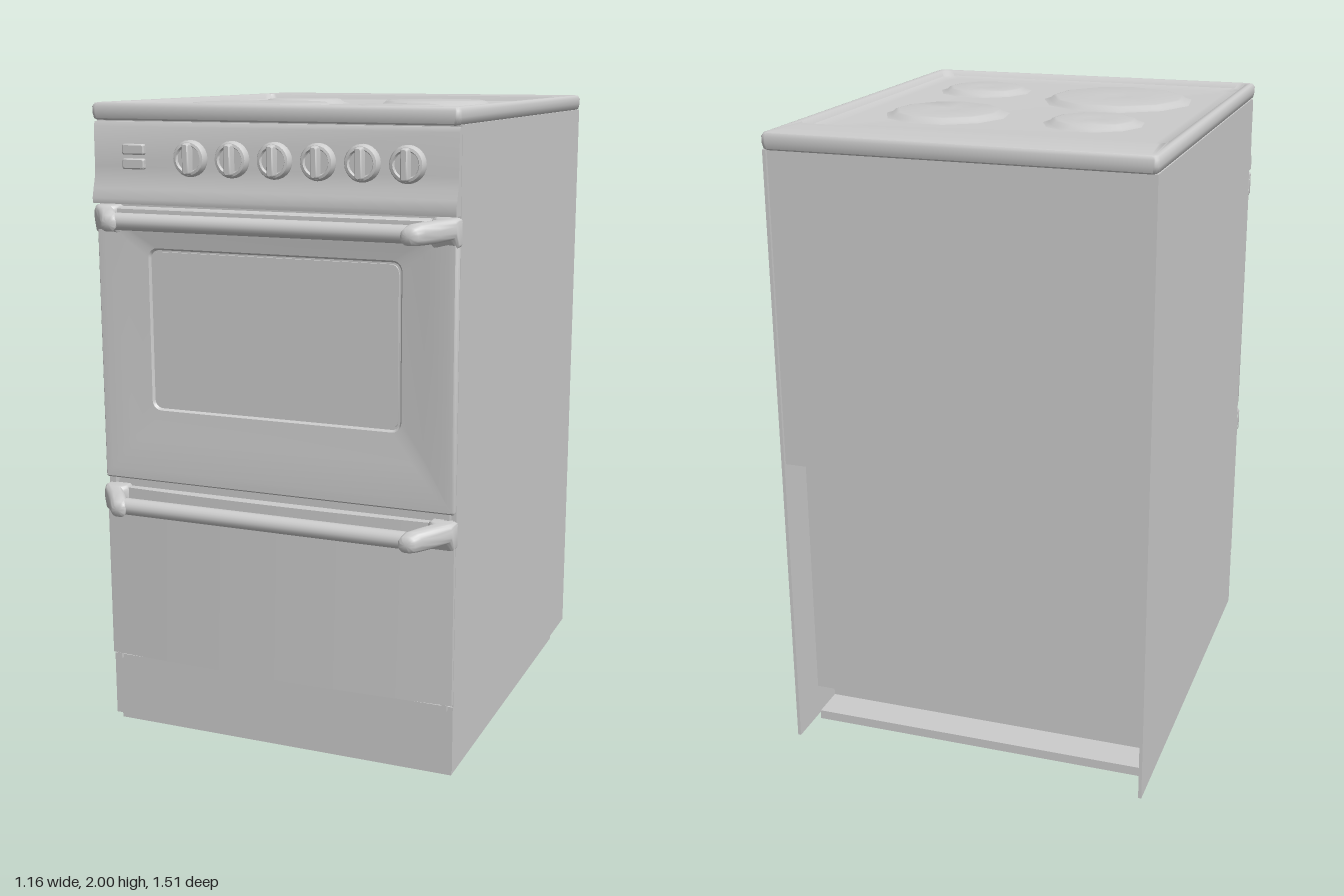
import * as THREE from 'three';
import { toCreasedNormals } from 'three/addons/utils/BufferGeometryUtils.js';

const enamel = new THREE.MeshStandardMaterial({ color: 0xcccccc });
enamel.name = 'grey enamel';

function add(parent, name, geo, x = 0, y = 0, z = 0) {
  const mesh = new THREE.Mesh(geo, enamel);
  mesh.name = name;
  mesh.position.set(x, y, z);
  parent.add(mesh);
  return mesh;
}

// Box given by its limits
function box(parent, name, x0, x1, y0, y1, z0, z1) {
  return add(parent, name, new THREE.BoxGeometry(x1 - x0, y1 - y0, z1 - z0),
    (x0 + x1) / 2, (y0 + y1) / 2, (z0 + z1) / 2);
}

// Points of a rounded rectangle, counter-clockwise
function ringPoints([x0, x1, y0, y1, r, z], steps = 5) {
  const pts = [];
  const corners = [[x1 - r, y1 - r], [x0 + r, y1 - r], [x0 + r, y0 + r], [x1 - r, y0 + r]];
  corners.forEach(([cx, cy], q) => {
    for (let i = 0; i <= steps; i++) {
      const a = (q + i / steps) * Math.PI / 2;
      pts.push([cx + r * Math.cos(a), cy + r * Math.sin(a), z]);
    }
  });
  return pts;
}

// Skin over rounded rectangles [x0, x1, y0, y1, radius, z]; the last one is capped
function loft(rings, crease = 0.6) {
  const pos = [], index = [];
  const n = 24;
  rings.forEach(r => ringPoints(r).forEach(p => pos.push(...p)));
  for (let k = 0; k < rings.length - 1; k++) {
    for (let j = 0; j < n; j++) {
      const a = k * n + j, b = k * n + (j + 1) % n;
      index.push(a, b, b + n, a, b + n, a + n);
    }
  }
  const last = rings[rings.length - 1];
  const start = (rings.length - 1) * n, centre = rings.length * n;
  pos.push((last[0] + last[1]) / 2, (last[2] + last[3]) / 2, last[5]);
  for (let j = 0; j < n; j++) index.push(start + j, start + (j + 1) % n, centre);
  const geo = new THREE.BufferGeometry();
  geo.setAttribute('position', new THREE.Float32BufferAttribute(pos, 3));
  geo.setIndex(index);
  return toCreasedNormals(geo, crease);
}

// Side profile of [z, y] points, extruded across the width
function profile(points, width) {
  const shape = new THREE.Shape(points.map(p => new THREE.Vector2(...p)));
  const geo = new THREE.ExtrudeGeometry(shape, { depth: width, bevelEnabled: false });
  geo.translate(0, 0, -width / 2).rotateY(-Math.PI / 2);
  return toCreasedNormals(geo, 0.5);
}

function buildHandle(parent, name, y) {
  const g = new THREE.Group();
  g.name = name;
  const bar = add(g, 'handleBar', new THREE.CylinderGeometry(0.026, 0.026, 0.92, 20), 0, y, 0.72);
  bar.rotation.z = Math.PI / 2;
  const rings = [
    [0.5, 0.582, y - 0.045, y + 0.04, 0.012, 0.61],
    [0.5, 0.582, y - 0.045, y + 0.04, 0.012, 0.636],
    [0.51, 0.578, y - 0.02, y + 0.038, 0.02, 0.65],
    [0.475, 0.545, y - 0.028, y + 0.034, 0.025, 0.69],
    [0.45, 0.515, y - 0.03, y + 0.03, 0.025, 0.73],
    [0.447, 0.5, y - 0.028, y + 0.02, 0.02, 0.748],
    [0.455, 0.49, y - 0.02, y + 0.01, 0.012, 0.755],
  ];
  for (const s of [1, -1]) {
    add(g, s > 0 ? 'leftBracket' : 'rightBracket', loft(rings.map(([a, b, ...rest]) =>
      s > 0 ? [a, b, ...rest] : [-b, -a, ...rest]), 0.8));
  }
  parent.add(g);
}

function buildKnob(parent, x) {
  const g = new THREE.Group();
  g.name = 'controlKnob';
  g.position.set(x, 1.84, 0.635);
  const disc = [[0.054, 0], [0.054, 0.012], [0.048, 0.024], [0.04, 0.026], [0.036, 0.018], [0, 0.018]]
    .map(p => new THREE.Vector2(...p));
  add(g, 'knobDisc', toCreasedNormals(new THREE.LatheGeometry(disc, 24), 0.6)).rotation.x = Math.PI / 2;
  add(g, 'knobGrip', loft([
    [-0.014, 0.014, -0.048, 0.048, 0.008, 0],
    [-0.011, 0.011, -0.046, 0.046, 0.008, 0.04],
    [-0.007, 0.007, -0.042, 0.042, 0.006, 0.045],
  ]));
  parent.add(g);
}

export function createModel() {
  const model = new THREE.Group();
  model.name = 'cooker';

  // Base, side walls and carcass with the recessed lower back
  box(model, 'base', -0.57, 0.57, 0, 0.03, -0.6, 0.6);
  for (const s of [1, -1]) {
    box(model, s > 0 ? 'leftSide' : 'rightSide', s * 0.574 - 0.005, s * 0.574 + 0.005, 0.025, 1.95, -0.75, 0.615);
  }
  add(model, 'carcass', profile([
    [0.61, 0.03], [0.61, 1.95], [-0.74, 1.95], [-0.74, 0.98],
    [-0.61, 0.98], [-0.61, 0.13], [-0.49, 0.13], [-0.49, 0.03],
  ], 1.14));
  box(model, 'kickPanel', -0.579, 0.579, 0.025, 0.232, 0.59, 0.62);

  // Hob: rounded rim, sunken tray and wide rear ledge
  const hob = loft([
    [-0.57, 0.57, -0.635, 0.745, 0.01, 1.948],
    [-0.578, 0.578, -0.643, 0.753, 0.014, 1.953],
    [-0.582, 0.582, -0.645, 0.755, 0.015, 1.97],
    [-0.582, 0.582, -0.645, 0.755, 0.015, 1.988],
    [-0.576, 0.576, -0.64, 0.751, 0.015, 1.998],
    [-0.568, 0.568, -0.632, 0.745, 0.015, 2.0],
    [-0.555, 0.555, -0.625, 0.568, 0.03, 1.998],
    [-0.545, 0.545, -0.615, 0.56, 0.03, 1.982],
    [-0.5, 0.5, -0.56, 0.51, 0.04, 1.978],
  ], 0.9);
  add(model, 'hobTop', hob).rotation.x = -Math.PI / 2;
  box(model, 'hobUnderside', -0.57, 0.57, 1.946, 1.952, -0.745, 0.63);

  // Four low mounds as burners
  const burners = [[-0.245, -0.2, 0.125], [0.235, -0.175, 0.165], [-0.2, 0.25, 0.215], [0.285, 0.32, 0.125]];
  for (const [x, z, r] of burners) {
    const pts = [[r + 0.035, 1.977], [r + 0.012, 1.982], [r, 1.992], [r - 0.01, 1.994], [0.035, 1.994], [0, 1.991]]
      .map(p => new THREE.Vector2(...p));
    add(model, 'burner', toCreasedNormals(new THREE.LatheGeometry(pts, 11), 0.9), x, 0, z);
  }

  // Control panel with a lip flaring out at its foot
  add(model, 'controlPanel', profile([
    [0.6, 1.7], [0.655, 1.7], [0.658, 1.715], [0.65, 1.745], [0.641, 1.775],
    [0.637, 1.81], [0.636, 1.93], [0.63, 1.944], [0.6, 1.944],
  ], 1.156));
  for (let i = 0; i < 6; i++) buildKnob(model, -0.25 + i * 0.136);
  for (const y of [1.863, 1.82]) {
    add(model, 'button', loft([
      [-0.037, 0.037, -0.016, 0.016, 0.006, 0],
      [-0.037, 0.037, -0.016, 0.016, 0.006, 0.012],
      [-0.033, 0.033, -0.012, 0.012, 0.005, 0.016],
    ]), -0.44, y, 0.634);
  }

  // Oven door, dished towards its window
  add(model, 'ovenDoor', loft([
    [-0.578, 0.578, 0.835, 1.69, 0.006, 0.6],
    [-0.578, 0.578, 0.835, 1.69, 0.006, 0.632],
    [-0.572, 0.572, 0.841, 1.684, 0.006, 0.641],
    [-0.55, 0.55, 0.87, 1.66, 0.01, 0.642],
    [-0.48, 0.48, 0.97, 1.61, 0.03, 0.632],
    [-0.41, 0.41, 1.063, 1.567, 0.03, 0.625],
    [-0.404, 0.404, 1.069, 1.561, 0.026, 0.617],
  ], 0.7));
  add(model, 'ovenWindow', loft([
    [-0.399, 0.399, 1.074, 1.556, 0.024, 0.616],
    [-0.399, 0.399, 1.074, 1.556, 0.024, 0.624],
  ]));

  // Storage drawer with a gently bowed front
  const drawer = new THREE.BoxGeometry(1.156, 0.565, 0.035, 24, 1, 1);
  const p = drawer.attributes.position;
  for (let i = 0; i < p.count; i++) {
    if (p.getZ(i) > 0) p.setZ(i, p.getZ(i) + 0.018 * (1 - (p.getX(i) / 0.578) ** 2));
  }
  add(model, 'drawerFront', toCreasedNormals(drawer, 0.5), 0, 0.5225, 0.6125);

  // Hinge pegs below the door and drawer
  for (const y of [0.825, 0.229]) {
    for (const x of [-0.555, 0.555]) box(model, 'hingePeg', x - 0.008, x + 0.008, y - 0.008, y + 0.012, 0.605, 0.632);
  }

  buildHandle(model, 'doorHandle', 1.655);
  buildHandle(model, 'drawerHandle', 0.772);
  return model;
}
